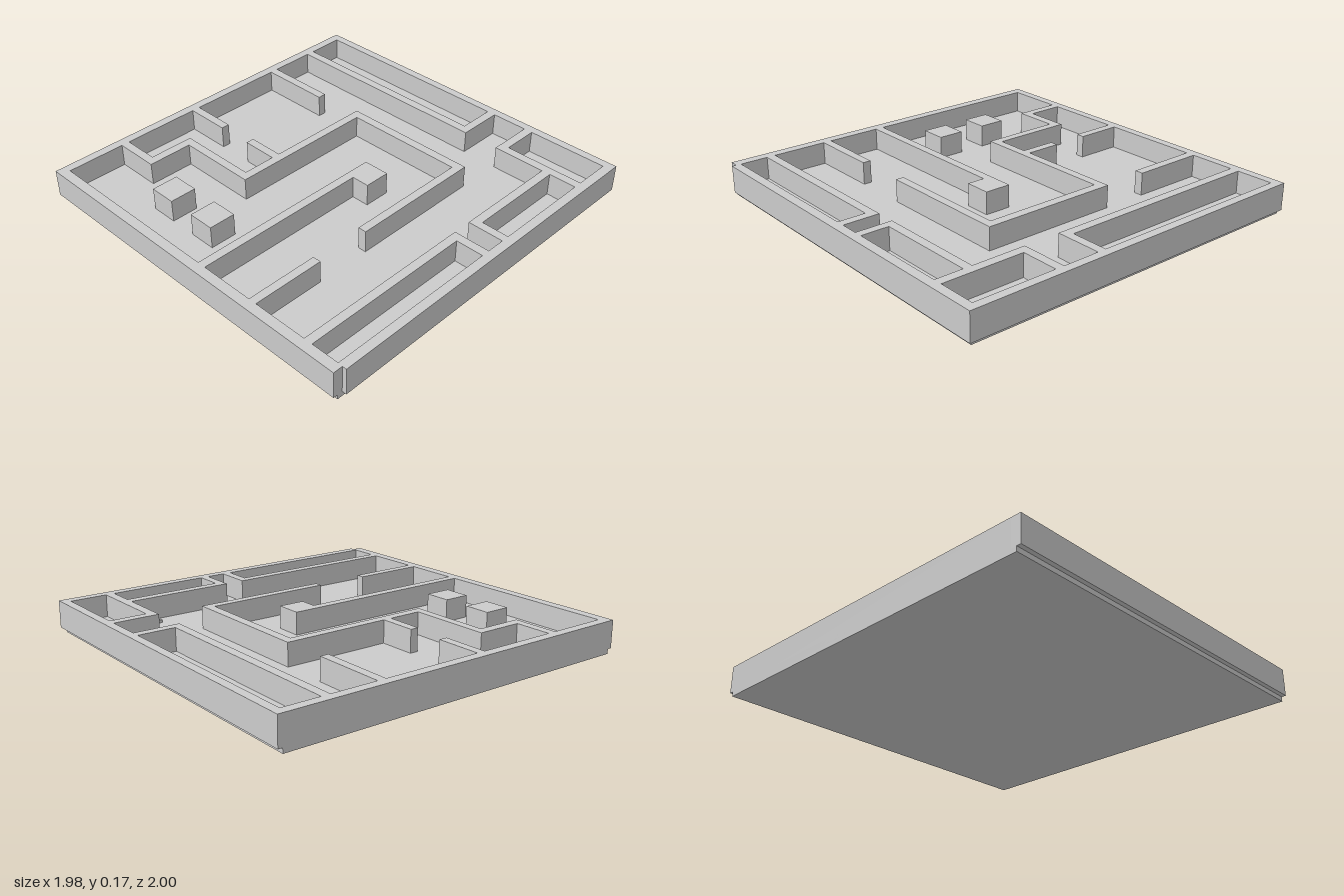
import * as THREE from 'three';

const WALL_BOTTOM = 0.025, WALL_TOP = 0.17, FLOOR_TOP = 0.05;

export function createModel() {
  const model = new THREE.Group();
  const material = new THREE.MeshStandardMaterial({ color: 0xcccccc, flatShading: true });

  // Box given by its extents on the plan and its height range
  function block(name, parent, [x0, x1, z0, z1], y0 = WALL_BOTTOM, y1 = WALL_TOP) {
    const mesh = new THREE.Mesh(new THREE.BoxGeometry(x1 - x0, y1 - y0, z1 - z0), material);
    mesh.position.set((x0 + x1) / 2, (y0 + y1) / 2, (z0 + z1) / 2);
    mesh.name = name;
    parent.add(mesh);
  }
  function blocks(groupName, name, list) {
    const group = new THREE.Group();
    group.name = groupName;
    list.forEach((extent) => block(name, group, extent));
    model.add(group);
  }

  // Floor slab, set in slightly under the walls
  block('floor', model, [-0.99, 0.962, -0.977, 0.977], 0, FLOOR_TOP);

  // Perimeter, open at the front corner on the +x side
  blocks('outerWalls', 'outerWall', [
    [-0.99, 0.985, -1, -0.955],
    [-0.99, -0.942, -0.955, 0.947],
    [0.936, 0.985, -0.955, 0.95],
    [-0.99, 0.962, 0.947, 1],
  ]);

  // Rooms along the back
  blocks('backRooms', 'backRoomWall', [
    [-0.942, 0.252, -0.755, -0.708],
    [0.206, 0.252, -0.955, -0.755],
    [0.45, 0.497, -0.955, -0.755],
    [0.45, 0.936, -0.755, -0.708],
  ]);

  // Rooms along the +x side, with an alcove between them
  blocks('sideRooms', 'sideRoomWall', [
    [0.74, 0.787, -0.708, -0.17],
    [0.74, 0.936, -0.17, -0.126],
    [0.74, 0.936, -0.026, 0.02],
    [0.74, 0.787, 0.02, 0.947],
  ]);

  // Stepped wall that winds through the hall
  blocks('windingWall', 'windingWallPart', [
    [-0.942, -0.697, 0.585, 0.63],
    [-0.745, -0.697, 0.385, 0.585],
    [-0.745, -0.26, 0.34, 0.385],
    [-0.306, -0.26, -0.415, 0.34],
    [-0.306, 0.445, -0.463, -0.415],
    [0.4, 0.445, -0.415, 0.265],
  ]);

  // Short partitions and the hooked centre wall
  blocks('partitions', 'partition', [
    [-0.942, -0.55, -0.463, -0.417],
    [-0.942, -0.697, 0.115, 0.16],
    [-0.502, -0.306, 0.115, 0.16],
    [0.4, 0.445, 0.56, 0.947],
    [0.06, 0.106, -0.005, 0.947],
    [0.06, 0.203, -0.147, -0.005],
  ]);

  // Free-standing pillars
  blocks('pillars', 'pillar', [
    [-0.524, -0.38, 0.606, 0.75],
    [-0.234, -0.09, 0.606, 0.75],
  ]);

  // Tiny marker on the floor
  block('floorMarker', model, [0.664, 0.686, -0.596, -0.575], FLOOR_TOP, FLOOR_TOP + 0.015);

  return model;
}
